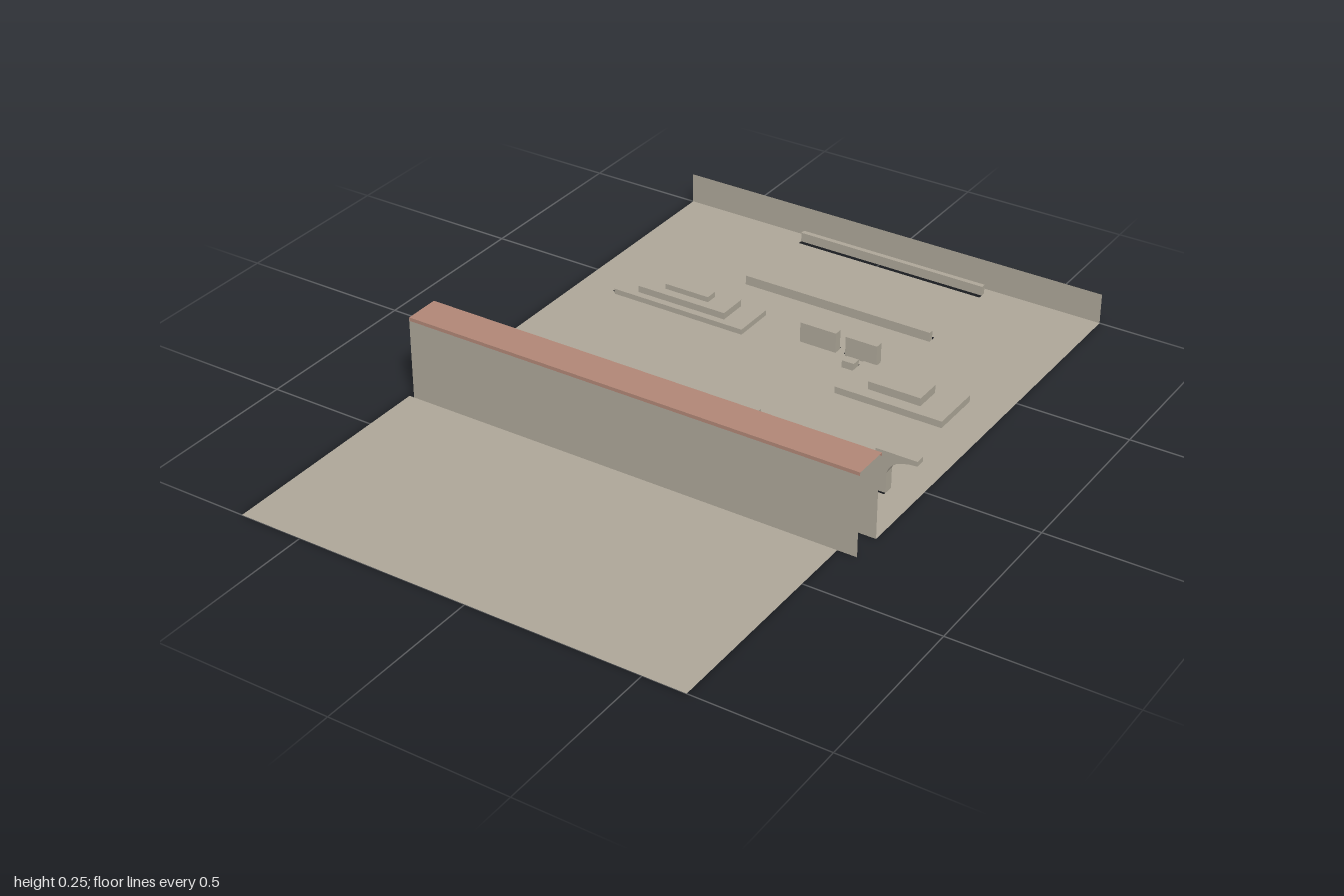
import * as THREE from 'three';

export function createModel() {
  const model = new THREE.Group();
  const stone = new THREE.MeshStandardMaterial({ color: 0xaea799, side: THREE.DoubleSide });
  stone.name = 'stone';
  const clay = new THREE.MeshStandardMaterial({ color: 0xb18777, side: THREE.DoubleSide });
  clay.name = 'clay';

  const add = (name, geometry, material = stone) => {
    const mesh = new THREE.Mesh(geometry, material);
    mesh.name = name;
    model.add(mesh);
    return mesh;
  };
  // Solid block from its limits
  const block = (name, x0, x1, y0, y1, z0, z1, material) =>
    add(name, new THREE.BoxGeometry(x1 - x0, y1 - y0, z1 - z0)
      .translate((x0 + x1) / 2, (y0 + y1) / 2, (z0 + z1) / 2), material);
  // Upright sheet across x at depth z
  const wall = (name, x0, x1, y0, y1, z, material) =>
    add(name, new THREE.PlaneGeometry(x1 - x0, y1 - y0)
      .translate((x0 + x1) / 2, (y0 + y1) / 2, z), material);
  // Flat sheet at height y, with optional rectangular openings
  const rect = (path, x0, x1, z0, z1) => {
    path.moveTo(x0, -z0);
    path.lineTo(x1, -z0);
    path.lineTo(x1, -z1);
    path.lineTo(x0, -z1);
    path.closePath();
    return path;
  };
  const sheet = (name, x0, x1, z0, z1, y, material, holes = []) => {
    const shape = rect(new THREE.Shape(), x0, x1, z0, z1);
    shape.holes = holes.map((h) => rect(new THREE.Path(), ...h));
    return add(name, new THREE.ShapeGeometry(shape).rotateX(-Math.PI / 2).translate(0, y, 0), material);
  };

  // Courtyard floor, with openings that sit slightly off the blocks above them
  sheet('courtyardFloor', -0.66, 0.675, -1, 0.24, 0, stone, [
    [-0.553, -0.13, -0.55, -0.42],
    [-0.26, 0.33, -0.965, -0.947],
    [-0.26, 0.33, -0.684, -0.668],
    [0.03, 0.143, -0.5, -0.475],
    [0.165, 0.26, -0.5, -0.475],
    [0.19, 0.245, -0.447, -0.425],
    [0.565, 0.595, 0.04, 0.062],
  ]);
  sheet('frontGround', -0.685, 0.62, 0.335, 1, 0, stone);

  // Walls and coping
  wall('backWall', -0.66, 0.675, 0, 0.09, -1);
  wall('innerWall', -0.66, 0.675, 0, 0.24, 0.243);
  wall('outerWall', -0.67, 0.675, 0, 0.24, 0.335);
  sheet('copingTop', -0.662, 0.68, 0.24, 0.344, 0.25, clay);
  for (const z of [0.24, 0.344]) wall('copingLip', -0.662, 0.68, 0.24, 0.25, z, clay);

  // Long low bars
  block('rearBar', -0.26, 0.33, 0, 0.028, -0.975, -0.96);
  block('frontBar', -0.26, 0.33, 0, 0.028, -0.671, -0.656);

  // Stepped platforms
  block('rightPlatformBase', -0.54, -0.12, 0, 0.016, -0.538, -0.41);
  block('rightPlatformStep', -0.473, -0.19, 0.016, 0.036, -0.52, -0.431);
  block('rightPlatformTop', -0.4, -0.26, 0.036, 0.052, -0.495, -0.458);
  block('leftPlatformBase', 0.247, 0.568, 0, 0.02, -0.441, -0.286);
  block('leftPlatformStep', 0.328, 0.485, 0.02, 0.044, -0.402, -0.322);

  // Upright slabs and small step
  block('slab', 0.033, 0.145, 0, 0.06, -0.49, -0.466);
  block('slab', 0.175, 0.272, 0, 0.06, -0.49, -0.466);
  block('smallStep', 0.197, 0.234, 0, 0.022, -0.437, -0.41);

  // Central paving plate and clay block
  block('pavingPlate', -0.06, 0.133, 0, 0.008, -0.102, 0.084);
  block('clayBlock', -0.425, -0.361, 0, 0.022, 0.03, 0.094, clay);

  // Post with a curved overhanging arm
  const arm = new THREE.Shape();
  arm.moveTo(0.562, 0);
  arm.lineTo(0.595, 0);
  arm.lineTo(0.595, 0.06);
  arm.quadraticCurveTo(0.605, 0.105, 0.68, 0.108);
  arm.lineTo(0.68, 0.122);
  arm.lineTo(0.562, 0.122);
  arm.closePath();
  add('curvedPost', new THREE.ExtrudeGeometry(arm, { depth: 0.028, bevelEnabled: false, curveSegments: 6 })
    .translate(0, 0, 0.027));

  return model;
}
